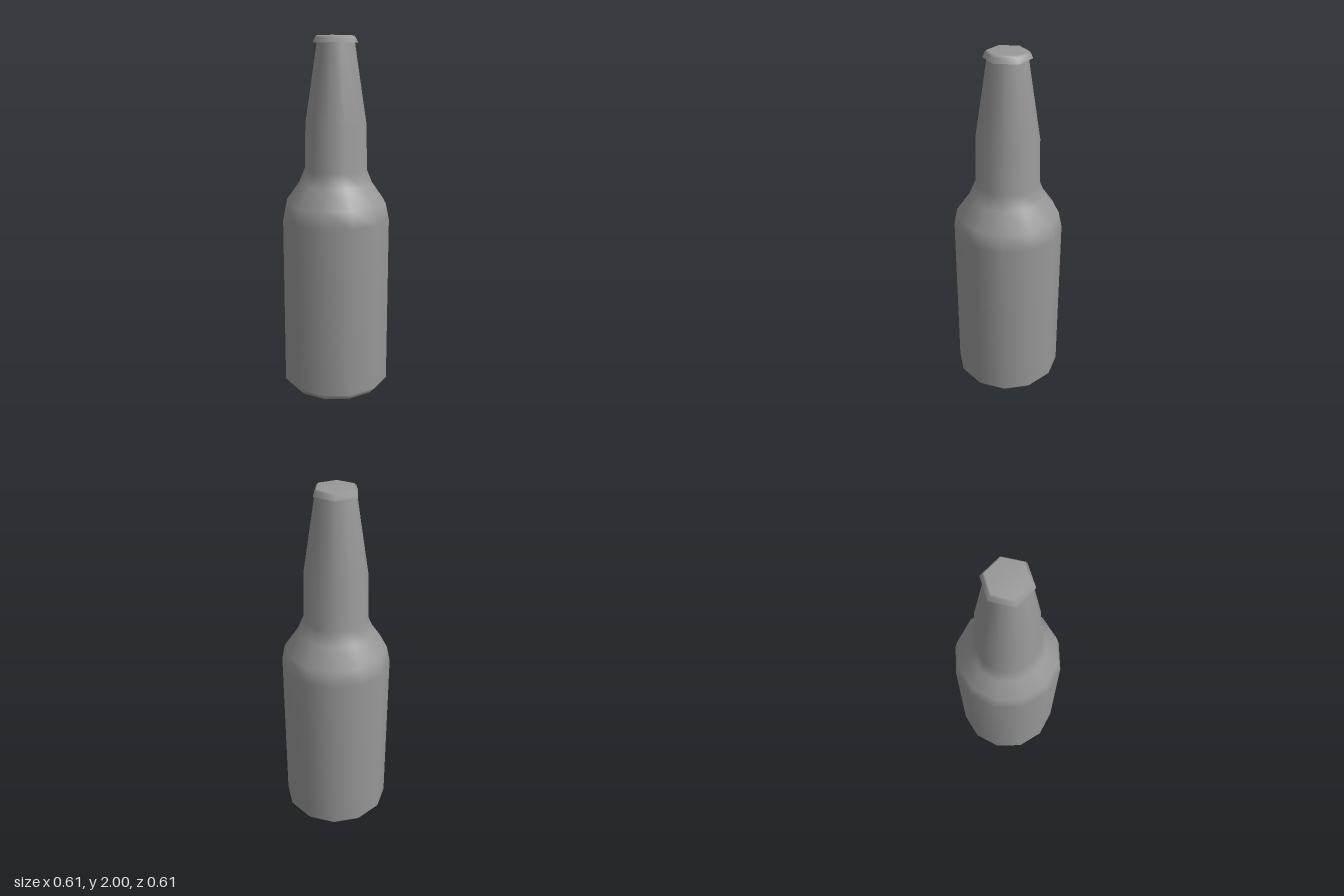
import * as THREE from 'three';

const material = new THREE.MeshStandardMaterial({ color: 0x989898, side: THREE.DoubleSide });

// Revolve a [radius, height] profile around y with smooth normals
function turned(name, profile, sides, start = 0) {
  const points = profile.map(([r, y]) => new THREE.Vector2(r, y));
  const mesh = new THREE.Mesh(new THREE.LatheGeometry(points, sides, start), material);
  mesh.name = name;
  return mesh;
}

export function createModel() {
  const group = new THREE.Group();
  group.name = 'bottle';

  // Twelve-sided glass: bevelled base, straight wall, shoulder and tapering neck
  group.add(turned('bottleBody', [
    [0, 0], [0.267, 0.005], [0.305, 0.048],
    [0.305, 1.005], [0.286, 1.095], [0.212, 1.2], [0.178, 1.28],
    [0.172, 1.535], [0.105, 1.967],
  ], 12));

  // Six-sided flared cap, open underneath, with a corner on the x axis
  group.add(turned('cap', [
    [0.127, 1.962], [0.115, 1.99], [0.104, 2], [0, 2],
  ], 6, Math.PI / 2));

  return group;
}
